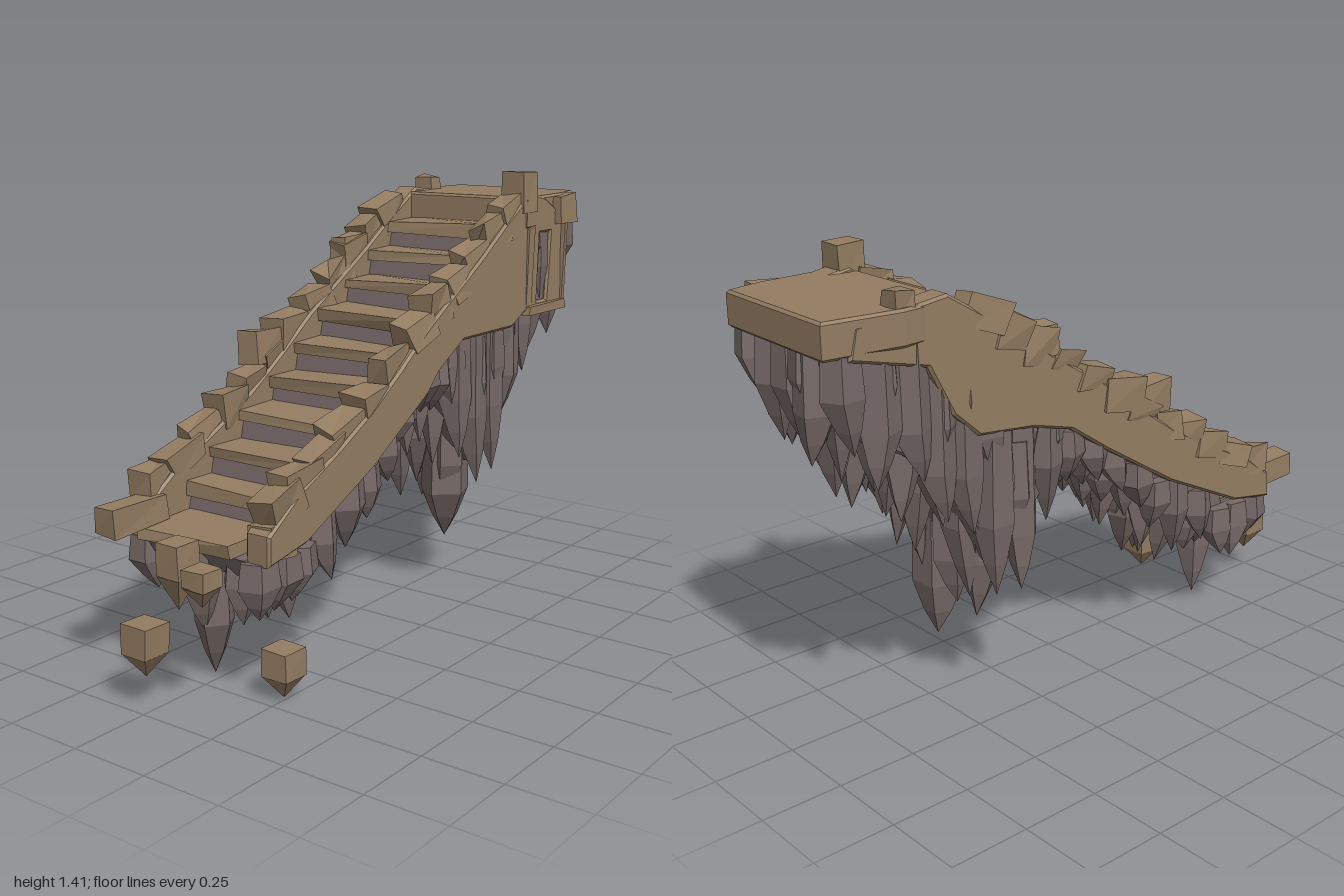
import * as THREE from 'three';
import { mergeGeometries } from 'three/addons/utils/BufferGeometryUtils.js';

const earth = new THREE.MeshStandardMaterial({ color: 0x947d62 });
earth.name = 'earthBrown';
const stone = new THREE.MeshStandardMaterial({ color: 0x766967 });
stone.name = 'stoneGrey';

// Step front edges, first step to landing
const STEPS = [-0.8, -0.6, -0.5, -0.36, -0.21, -0.09, 0.04, 0.18, 0.31, 0.43, 0.58];
const COUNT = STEPS.length - 1;
const stepY = (i) => 0.45 + i * 0.087;
const LANDING = 1.325;

// Lowest reach of the hanging rock along x
const HANG = [[-0.8, 0.14], [-0.7, 0.12], [-0.52, 0.13], [-0.35, 0.19], [-0.25, 0.34], [-0.13, 0.46], [0, 0.66],
  [0.1, 0.59], [0.2, 0.44], [0.3, 0.3], [0.38, 0.17], [0.48, 0.36], [0.57, 0.53], [0.7, 0.63], [0.88, 0.72], [0.92, 0.85], [1, 1.05]];
// Crest of the side walls along x
const CREST = [[-0.77, 0.5], [-0.64, 0.59], [-0.45, 0.68], [-0.3, 0.76], [-0.15, 0.86], [0, 0.97], [0.15, 1.06], [0.3, 1.15], [0.45, 1.25], [0.6, 1.34]];

function lookup(table, x) {
  for (let i = 1; i < table.length; i++) {
    const [x0, y0] = table[i - 1], [x1, y1] = table[i];
    if (x <= x1) return y0 + (y1 - y0) * Math.max(0, (x - x0) / (x1 - x0));
  }
  return table[table.length - 1][1];
}

function makeRandom(seed) {
  return () => {
    seed = (seed * 16807) % 2147483647;
    return seed / 2147483647;
  };
}

function faceted(geometry) {
  const g = geometry.index ? geometry.toNonIndexed() : geometry;
  g.computeVertexNormals();
  return g;
}

function extrudeXY(points, z0, z1, hole) {
  const shape = new THREE.Shape(points.map(([x, y]) => new THREE.Vector2(x, y)));
  if (hole) shape.holes.push(new THREE.Path(hole.map(([x, y]) => new THREE.Vector2(x, y))));
  const b = 0.008;
  return faceted(new THREE.ExtrudeGeometry(shape, {
    depth: z1 - z0 - 2 * b, bevelEnabled: true, bevelSize: b, bevelOffset: -b, bevelThickness: b, bevelSegments: 1,
  }).translate(0, 0, z0 + b));
}

// Box with its eight corners nudged
function roughBox(w, h, d, x, y, z, rnd, amount = 0.012, tilt = 0) {
  const g = new THREE.BoxGeometry(w, h, d);
  const p = g.attributes.position;
  const nudges = Array.from({ length: 24 }, () => (rnd() - 0.5) * 2 * amount);
  for (let i = 0; i < p.count; i++) {
    const k = 3 * ((p.getX(i) > 0 ? 1 : 0) + (p.getY(i) > 0 ? 2 : 0) + (p.getZ(i) > 0 ? 4 : 0));
    p.setXYZ(i, p.getX(i) + nudges[k], p.getY(i) + nudges[k + 1], p.getZ(i) + nudges[k + 2]);
  }
  return faceted(g.rotateZ(tilt).translate(x, y, z));
}

// Faceted spike: straight shaft that narrows quickly to a leaning tip
function shard(x, z, top, tip, radius, rnd) {
  const len = top - tip;
  const shoulder = Math.min(0.55 * len, 0.15 + rnd() * 0.09);
  const profile = [[0, 0], [0.55, shoulder * 0.45], [1, shoulder], [0.85, len], [0, len]]
    .map(([r, y]) => new THREE.Vector2(r * radius, y));
  const g = new THREE.LatheGeometry(profile, 5, rnd() * 6.28);
  const p = g.attributes.position;
  const leanX = (rnd() - 0.5) * 0.06, leanZ = (rnd() - 0.5) * 0.06;
  for (let i = 0; i < p.count; i++) {
    const t = Math.max(0, 1 - p.getY(i) / shoulder);
    p.setX(i, p.getX(i) + leanX * t);
    p.setZ(i, p.getZ(i) * 0.92 + leanZ * t);
  }
  return faceted(g.translate(x, tip, z));
}

export function createModel() {
  const group = new THREE.Group();
  const rnd = makeRandom(4711);
  const add = (name, geometries, material) => {
    const list = [geometries].flat();
    const mesh = new THREE.Mesh(list.length > 1 ? mergeGeometries(list) : list[0], material);
    mesh.name = name;
    group.add(mesh);
  };

  // Rock core: stepped top with slanting risers, ragged underside
  const core = [];
  for (let i = 0; i < COUNT; i++) core.push([STEPS[i] + 0.02, stepY(i) - 0.03], [STEPS[i + 1], stepY(i) - 0.03]);
  core.push([0.6, 1.25], [0.94, 1.25]);
  const coreTop = core.slice();
  for (let x = 0.93; x > -0.77; x -= 0.06) {
    const ceiling = x > 0.58 ? 1.2 : lookup(coreTop, x) - 0.06;
    core.push([x, Math.min(ceiling, lookup(HANG, x) + 0.26)]);
  }
  add('rockCore', extrudeXY(core, -0.22, 0.19), stone);

  // Treads
  const treads = [];
  for (let i = 0; i < COUNT; i++) {
    const w = STEPS[i + 1] - STEPS[i] + 0.03;
    treads.push(roughBox(w, 0.04, i ? 0.42 : 0.34, STEPS[i] + w / 2, stepY(i) - 0.016, i ? -0.01 : -0.03, rnd, 0.009));
  }
  add('treads', treads, earth);

  // Landing slab, drawn in plan
  const plan = [[0.57, 0.27], [0.86, 0.25], [0.98, 0.22], [0.995, -0.265], [0.75, -0.285], [0.57, -0.26]];
  const slab = extrudeXY(plan.map(([x, z]) => [x, -z]), 0, LANDING - 1.22);
  slab.rotateX(-Math.PI / 2).translate(0, 1.22, 0);
  add('landing', slab, earth);

  // Side walls
  const crest = CREST.slice().reverse();
  const frontWall = [[-0.77, 0.41], [-0.6, 0.44], [-0.28, 0.59], [0, 0.76], [0.06, 0.82], [0.2, 0.9], [0.5, 0.9],
    [0.58, 0.94], [0.84, 0.93], [0.85, 1.24], [0.7, 1.32], ...crest];
  const opening = [[0.66, 0.97], [0.67, 1.2], [0.74, 1.2], [0.72, 0.97]];
  add('frontWall', extrudeXY(frontWall, 0.18, 0.265, opening), earth);
  const backWall = [[-0.78, 0.41], [-0.6, 0.44], [-0.28, 0.59], [0, 0.76], [0.15, 0.86], [0.3, 0.9], [0.5, 0.92],
    [0.59, 1.0], [0.67, 1.15], [0.92, 1.21], [0.9, 1.3], ...crest];
  add('backWall', extrudeXY(backWall, -0.275, -0.195), earth);

  // Opening frame and corner block
  add('alcoveFrame', [
    roughBox(0.26, 0.03, 0.05, 0.71, 0.945, 0.255, rnd, 0.006),
    roughBox(0.04, 0.29, 0.04, 0.6, 1.08, 0.25, rnd, 0.008),
    roughBox(0.03, 0.29, 0.04, 0.83, 1.08, 0.255, rnd, 0.008),
    roughBox(0.12, 0.1, 0.09, 0.83, 1.27, 0.24, rnd, 0.006),
  ], earth);

  // Broken coping blocks along both walls
  const coping = [];
  for (const z of [0.222, -0.238]) {
    for (let x = -0.68; x < 0.52; x += 0.085 + rnd() * 0.04) {
      const h = 0.07 + rnd() * 0.04;
      coping.push(roughBox(0.11 + rnd() * 0.04, h, 0.075, x, lookup(CREST, x) + 0.002, z, rnd, 0.014, 0.1 + rnd() * 0.4));
    }
  }
  coping.push(
    roughBox(0.09, 0.13, 0.085, 0.59, 1.345, 0.228, rnd, 0.005),
    roughBox(0.06, 0.09, 0.07, 0.74, 1.325, -0.24, rnd, 0.006),
    roughBox(0.12, 0.1, 0.07, 0.26, 1.145, -0.24, rnd, 0.008),
    roughBox(0.13, 0.1, 0.07, -0.2, 0.885, -0.24, rnd, 0.008),
    roughBox(0.22, 0.08, 0.08, -0.81, 0.49, -0.215, rnd, 0.007),
    roughBox(0.11, 0.1, 0.08, -0.7, 0.47, 0.22, rnd, 0.006),
  );
  add('copingBlocks', coping, earth);

  // Hanging rock spikes: staggered columns, each clad in shorter overlapping spikes
  const spikes = [shard(-0.69, -0.01, 0.43, 0, 0.065, rnd), shard(0.385, 0.08, 0.85, 0.16, 0.09, rnd)];
  const columns = 18, rows = 5;
  for (let ix = 0; ix < columns; ix++) {
    for (let iz = 0; iz < rows; iz++) {
      const stagger = iz % 2 ? 0.025 : -0.01;
      const x = THREE.MathUtils.clamp(-0.745 + ix * 0.098 + stagger + (rnd() - 0.5) * 0.03, -0.74, 0.92);
      const z = THREE.MathUtils.clamp(-0.222 + iz * 0.108 + (rnd() - 0.5) * 0.025, -0.222, 0.21);
      const top = x > 0.68 ? 1.24 : lookup(coreTop, Math.max(-0.78, x - 0.1)) - 0.005;
      const edge = Math.pow(z / 0.24, 2) * 0.11;
      const tip = Math.min(top - 0.17, lookup(HANG, x) + edge + rnd() * 0.1);
      spikes.push(shard(x, z, top, tip, 0.057 + rnd() * 0.012, rnd));
      for (let y = tip + 0.11 + rnd() * 0.07; y < top - 0.16; y += 0.15 + rnd() * 0.07) {
        const cx = THREE.MathUtils.clamp(x + (rnd() - 0.5) * 0.07, -0.74, 0.925);
        const cz = THREE.MathUtils.clamp(z + (rnd() - 0.5) * 0.05, -0.222, 0.212);
        spikes.push(shard(cx, cz, Math.min(top, y + 0.34), y, 0.06 + rnd() * 0.01, rnd));
      }
    }
  }
  add('hangingSpikes', spikes, stone);

  // Loose floating rubble: block with a pointed underside
  const rubble = [[-0.955, -0.03, 0.25, 0.16, 0.09, 0.095], [-0.87, 0.02, 0.47, 0.37, 0.27, 0.085],
    [-0.935, 0.17, 0.44, 0.39, 0.33, 0.08], [-0.69, 0.245, 0.155, 0.07, 0.005, 0.09]];
  for (const [x, z, top, mid, tip, w] of rubble) {
    const point = new THREE.ConeGeometry(w * 0.69, mid - tip, 4).rotateX(Math.PI).rotateY(Math.PI / 4);
    add('rubbleBlock', [
      roughBox(w, top - mid, w, x, (top + mid) / 2, z, rnd, 0.003),
      faceted(point.toNonIndexed().translate(x, (mid + tip) / 2, z)),
    ], earth);
  }
  return group;
}
